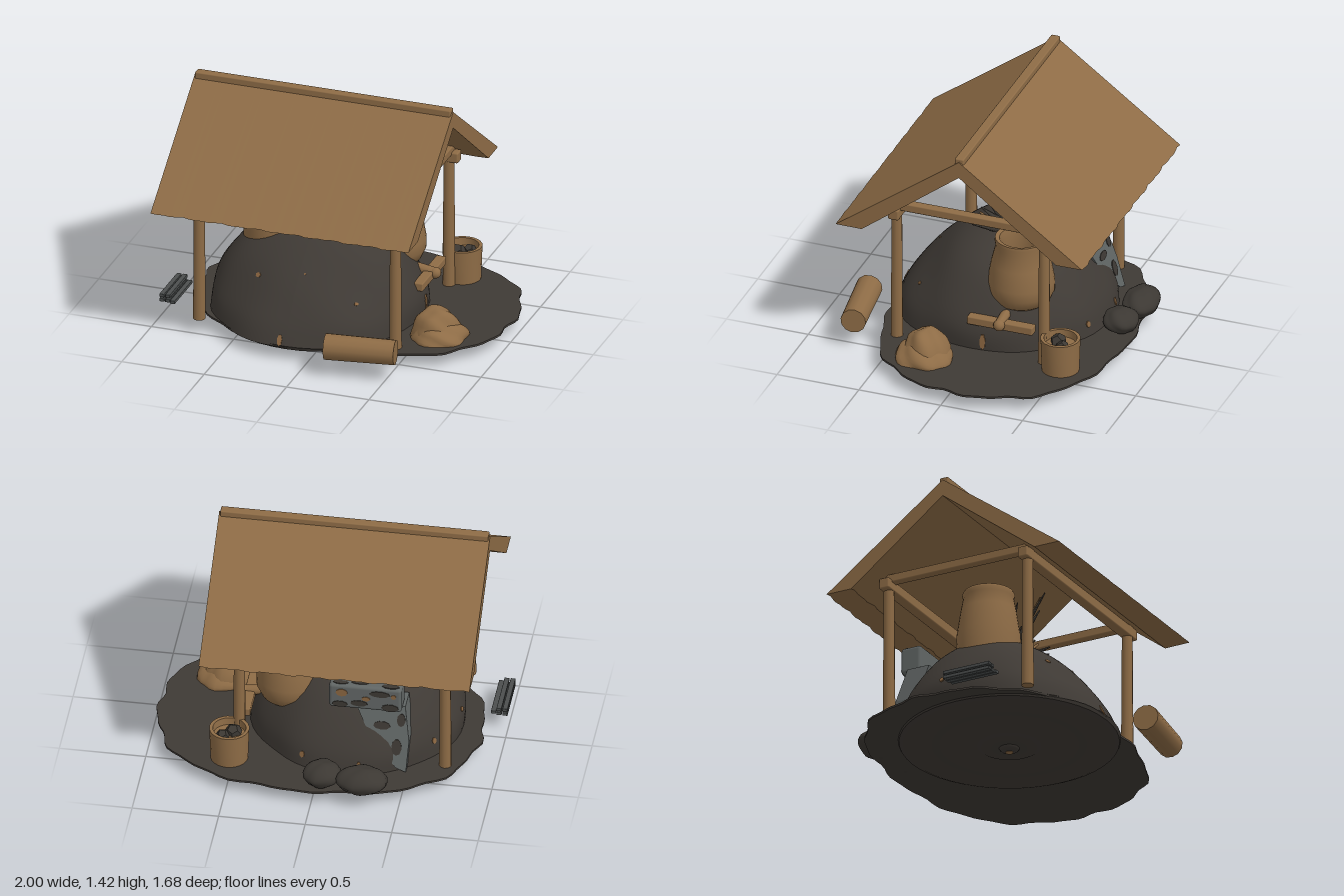
import * as THREE from 'three';
import { toCreasedNormals } from 'three/addons/utils/BufferGeometryUtils.js';
import { RoundedBoxGeometry } from 'three/addons/geometries/RoundedBoxGeometry.js';

const mat = (name, color, side = THREE.FrontSide) => {
  const m = new THREE.MeshStandardMaterial({ color, side });
  m.name = name;
  return m;
};
const V = (x, y, z) => new THREE.Vector3(x, y, z);
// smooth repeatable wobble from a position
const wobble = (x, y, z) => Math.sin(x * 17 + y * 9) * Math.sin(z * 19 - y * 13 + x * 5);
const P = (list) => list.map(([a, b]) => new THREE.Vector2(a, b));

function displace(geo, rule) {
  const p = geo.attributes.position, v = new THREE.Vector3();
  for (let i = 0; i < p.count; i++) {
    v.fromBufferAttribute(p, i);
    rule(v);
    p.setXYZ(i, v.x, v.y, v.z);
  }
  geo.computeVertexNormals();
  return geo;
}

export function createModel() {
  const root = new THREE.Group();
  const wood = mat('wood', 0x8e6c46);
  const clay = mat('clay', 0x8e6c46, THREE.DoubleSide);
  const earth = mat('charred earth', 0x3f3a35);
  const iron = mat('iron', 0x616665);
  const darkIron = mat('dark iron', 0x4c4f4f);
  const rust = mat('rust patch', 0x8a6540, THREE.DoubleSide);
  const coal = mat('charcoal', 0x3c3833);

  const add = (name, geo, material, x = 0, y = 0, z = 0) => {
    const m = new THREE.Mesh(geo, material);
    m.name = name;
    m.position.set(x, y, z);
    root.add(m);
    return m;
  };
  const box = (name, w, h, d, x, y, z, m = wood) =>
    add(name, new RoundedBoxGeometry(w, h, d, 2, Math.min(w, h, d) * 0.15), m, x, y, z);
  // round bar between two points
  const bar = (name, a, b, r0, r1, m = wood, sides = 10) => {
    const c = add(name, new THREE.CylinderGeometry(r1, r0, a.distanceTo(b), sides), m);
    c.position.copy(a).add(b).multiplyScalar(0.5);
    c.quaternion.setFromUnitVectors(V(0, 1, 0), b.clone().sub(a).normalize());
    return c;
  };

  // thick gable roof: profile in (-z, y) extruded along x, eaves ragged along the slope
  const gable = new THREE.Shape(P([[-0.775, 0.85], [-0.02, 1.405], [0.735, 0.85],
    [0.575, 0.85], [-0.02, 1.305], [-0.615, 0.85]]));
  const roof = new THREE.ExtrudeGeometry(gable, { depth: 1.565, steps: 40, bevelEnabled: false });
  displace(roof.rotateY(Math.PI / 2), (v) => {
    if (v.y < 0.9) {
      const n = 0.006 * Math.sin(v.x * 41) * Math.sin(v.x * 13 + v.z * 3);
      v.y -= 0.59 * n;
      v.z += Math.sign(v.z) * 0.81 * n;
    }
  });
  add('roof', roof, wood, -0.907);
  box('ridgePole', 1.55, 0.05, 0.055, -0.125, 1.397, 0.022);

  // timber frame
  for (const z of [0.47, -0.43]) {
    box('plateBeam', 1.32, 0.065, 0.065, -0.125, 0.905, z);
    for (const x of [-0.72, 0.47]) bar('post', V(x, 0.085, z), V(x, 0.9, z), 0.036, 0.031);
  }
  for (const x of [-0.72, 0.47]) box('tieBeam', 0.055, 0.05, 0.96, x, 0.945, 0.02);

  // ground apron: a squarish oval with an uneven rim
  const rim = [];
  for (let i = 0; i < 96; i++) {
    const a = (i / 96) * Math.PI * 2, c = Math.cos(a), s = Math.sin(a);
    const k = (1 + 0.012 * Math.sin(a * 13) + 0.008 * Math.sin(a * 23 + 1)) / (c ** 4 + s ** 4) ** 0.08;
    rim.push(new THREE.Vector2(0.05 + 0.935 * k * c, 0.09 + 0.71 * k * s));
  }
  const apron = new THREE.ExtrudeGeometry(new THREE.Shape(rim), { depth: 0.012, bevelEnabled: false });
  add('groundApron', apron.rotateX(-Math.PI / 2), earth, 0, 0.079, 0);

  // furnace mound: leans back from the front as it rises, a little flatter on its left
  const cx = -0.13, cz = 0.03;
  const shape = (v) => {
    const n = 1 + 0.018 * wobble(v.x * 0.5, v.y * 0.6, v.z * 0.5);
    v.x *= n * (v.x > 0 ? 0.94 : 1);
    v.z *= n * (1 - (v.z > 0 ? 0.65 : 0.28) * Math.max(0, v.y - 0.08));
    return v;
  };
  const dome = new THREE.SplineCurve(P([[0.64, 0.08], [0.635, 0.2], [0.58, 0.33], [0.48, 0.47],
    [0.36, 0.56], [0.2, 0.615], [0, 0.635]]));
  const mound = displace(new THREE.LatheGeometry(dome.getPoints(24), 56), shape);
  add('mound', mound, earth, cx, 0, cz);

  // stepped underside and its round plug
  const under = new THREE.LatheGeometry(P([[0, 0.028], [0.1, 0.028], [0.17, 0.034], [0.19, 0.045],
    [0.42, 0.05], [0.6, 0.055], [0.63, 0.068], [0.64, 0.09]]), 48);
  add('moundUnderside', toCreasedNormals(under, 0.6), earth, cx, 0, cz);
  add('bottomPlug', new THREE.SphereGeometry(0.06, 20, 12), earth, cx, 0.034, cz).scale.y = 0.56;
  add('plugTip', new THREE.CylinderGeometry(0.022, 0.022, 0.008, 16), wood, cx, 0.004, cz);

  // clay flecks lying on the mound: angle, curve position, width, height
  for (const [a, t, w, h] of [[2.05, 0.4, 0.035, 0.03], [0.9, 0.3, 0.025, 0.02], [1.63, 0.06, 0.03, 0.07],
    [1.5, 0.46, 0.012, 0.012], [-0.13, 0.1, 0.035, 0.1], [1.1, 0.03, 0.03, 0.03], [-1.2, 0.12, 0.03, 0.04],
    [-2.5, 0.15, 0.03, 0.04], [-1.75, 0.1, 0.025, 0.05], [3.3, 0.2, 0.03, 0.03]]) {
    const at = (da, dt) => {
      const q = dome.getPoint(Math.max(0, t + dt));
      return shape(V(q.x * Math.cos(a + da), q.y, q.x * Math.sin(a + da)));
    };
    const p = at(0, 0);
    const n = at(0, 0.02).sub(at(0, -0.02)).cross(at(0.02, 0).sub(at(-0.02, 0))).normalize();
    if (n.dot(p) < 0) n.negate();
    const f = add('clayFleck', new THREE.CylinderGeometry(0.5, 0.5, 1, 7).rotateX(Math.PI / 2), rust);
    f.position.copy(p).add(V(cx, 0, cz));
    f.lookAt(f.position.clone().add(n));
    f.scale.set(w, h, 0.009);
  }

  // clay chimneys
  const pot = (name, pts, x, z) =>
    add(name, toCreasedNormals(new THREE.LatheGeometry(P(pts), 32), 0.9), clay, x, 0, z);
  pot('tallChimney', [[0.19, 0.4], [0.188, 0.52], [0.183, 0.62], [0.16, 0.77], [0.145, 0.85], [0.152, 0.87],
    [0.145, 0.885], [0.12, 0.88], [0.115, 0.8], [0.14, 0.5], [0, 0.5]], -0.405, 0.045);
  add('chimneyCap', new THREE.SphereGeometry(0.07, 16, 10), wood, -0.405, 0.85, 0.045);
  pot('lowChimney', [[0, 0.295], [0.11, 0.3], [0.165, 0.34], [0.192, 0.4], [0.193, 0.46],
    [0.172, 0.58], [0.147, 0.68], [0.153, 0.715], [0.15, 0.732], [0.125, 0.727], [0.115, 0.68],
    [0.14, 0.5], [0, 0.45]], 0.215, -0.193);

  // blow pipe and its cross bar
  box('crossBar', 0.06, 0.05, 0.4, 0.45, 0.275, -0.16);
  bar('blowPipe', V(0.2, 0.33, -0.16), V(0.49, 0.285, -0.16), 0.03, 0.03);
  add('pipeEnd', new THREE.SphereGeometry(0.034, 14, 10), wood, 0.485, 0.285, -0.16);

  // charred sticks fanned out of the top of the mound: tip, then base radius
  for (const [x, y, z, r] of [[-0.13, 0.91, 0.03, 0.04], [-0.27, 0.86, 0.16, 0.032], [-0.1, 0.87, 0.21, 0.03],
    [-0.2, 0.92, 0.3, 0.022], [-0.04, 0.72, 0.15, 0.026], [0.18, 0.73, 0.12, 0.026], [0.08, 0.72, 0.18, 0.026],
    [-0.24, 0.72, 0.17, 0.026], [-0.15, 0.78, 0.2, 0.03], [-0.3, 0.7, 0, 0.024]]) {
    const base = V(-0.13 + (x + 0.13) * 0.3, 0.6, 0.01 + z * 0.1);
    bar('charredStick', base, V(x, y, z), r, 0.004, coal, 6);
  }
  bar('freshStick', V(-0.08, 0.6, 0.08), V(0.05, 0.74, 0.12), 0.02, 0.006, wood, 6);
  bar('freshStick', V(-0.13, 0.6, 0.02), V(-0.2, 0.9, 0.27), 0.014, 0.004, wood, 6);

  // iron block on the back of the mound with blotches on its back and top
  box('ironBlock', 0.42, 0.16, 0.13, -0.265, 0.55, -0.425, iron);
  const blotch = (m, w, h) => {
    const b = add('blotch', new THREE.CylinderGeometry(0.5, 0.5, 0.006, 9).rotateX(Math.PI / 2), m);
    b.scale.set(w, h, 1);
    return b;
  };
  for (const [m, x, y, w, h] of [[coal, -0.41, 0.5, 0.1, 0.05], [coal, -0.35, 0.59, 0.12, 0.04],
    [coal, -0.23, 0.515, 0.1, 0.04], [rust, -0.27, 0.55, 0.05, 0.03], [rust, -0.13, 0.58, 0.07, 0.05],
    [coal, -0.12, 0.5, 0.09, 0.04], [rust, -0.43, 0.58, 0.03, 0.03]]) {
    blotch(m, w, h).position.set(x, y, -0.491);
    const top = blotch(m, w, h * 0.8);
    top.rotation.x = Math.PI / 2;
    top.position.set(x, 0.631, -0.425 + (y - 0.545) * 0.8);
  }

  // tapering iron plate leaning on the mound below the block
  const plate = new THREE.ExtrudeGeometry(new THREE.Shape(P([[-0.51, 0.1], [-0.52, 0.28], [-0.49, 0.48],
    [-0.2, 0.48], [-0.29, 0.3], [-0.45, 0.12]])), { depth: 0.14, bevelEnabled: false });
  displace(plate, (v) => { v.z += 0.3 * (v.y - 0.1); });
  add('ironPlate', plate, iron, 0, 0, -0.55);
  for (const [x, y, w, h] of [[-0.45, 0.24, 0.06, 0.1], [-0.36, 0.36, 0.1, 0.05], [-0.47, 0.4, 0.05, 0.08]]) {
    const b = blotch(coal, w, h);
    b.rotation.x = Math.atan(0.3);
    b.position.set(x, y, -0.551 + 0.3 * (y - 0.1));
  }

  // loose stones and the clay heap, cut level with the ground
  const stone = (name, m, x, y, z, sx, sy, sz, rough, floor = -2) => {
    const g = displace(new THREE.SphereGeometry(1, 28, 18), (v) => {
      v.multiplyScalar(1 + rough * wobble(v.x * 0.3, v.y * 0.3, v.z * 0.3));
      v.y = Math.max(v.y, floor);
    });
    add(name, g, m, x, y, z).scale.set(sx, sy, sz);
  };
  stone('backStone', coal, -0.285, 0.155, -0.735, 0.15, 0.075, 0.105, 0.05);
  stone('backStone', coal, -0.05, 0.15, -0.7, 0.11, 0.07, 0.105, 0.05);
  stone('clayHeap', wood, 0.63, 0.09, 0.225, 0.145, 0.17, 0.14, 0.06, 0);
  stone('clayHeapSkirt', wood, 0.655, 0.09, 0.235, 0.16, 0.1, 0.17, 0.07, 0);

  // log lying in front
  bar('log', V(0.15, 0.175, 0.762), V(0.555, 0.175, 0.705), 0.078, 0.074, wood, 12);

  // tub filled with charcoal
  const tub = new THREE.LatheGeometry(P([[0, 0.092], [0.108, 0.092], [0.115, 0.295], [0.095, 0.295],
    [0.092, 0.25], [0, 0.25]]), 24);
  add('tub', toCreasedNormals(tub, 0.7), clay, 0.51, 0, -0.545);
  for (const [x, z, s] of [[-0.02, 0.02, 0.05], [0.035, -0.025, 0.04]])
    add('charcoalLump', new THREE.DodecahedronGeometry(s), coal, 0.51 + x, 0.255, -0.545 + z);

  // stacked iron bars at the side
  for (const [x, y, z] of [[-0.985, 0.112, 0.22], [-0.95, 0.112, 0.22], [-0.917, 0.112, 0.23],
    [-0.985, 0.14, 0.22], [-0.95, 0.14, 0.22]]) box('ironBar', 0.029, 0.02, 0.3, x, y, z, darkIron);

  return root;
}
